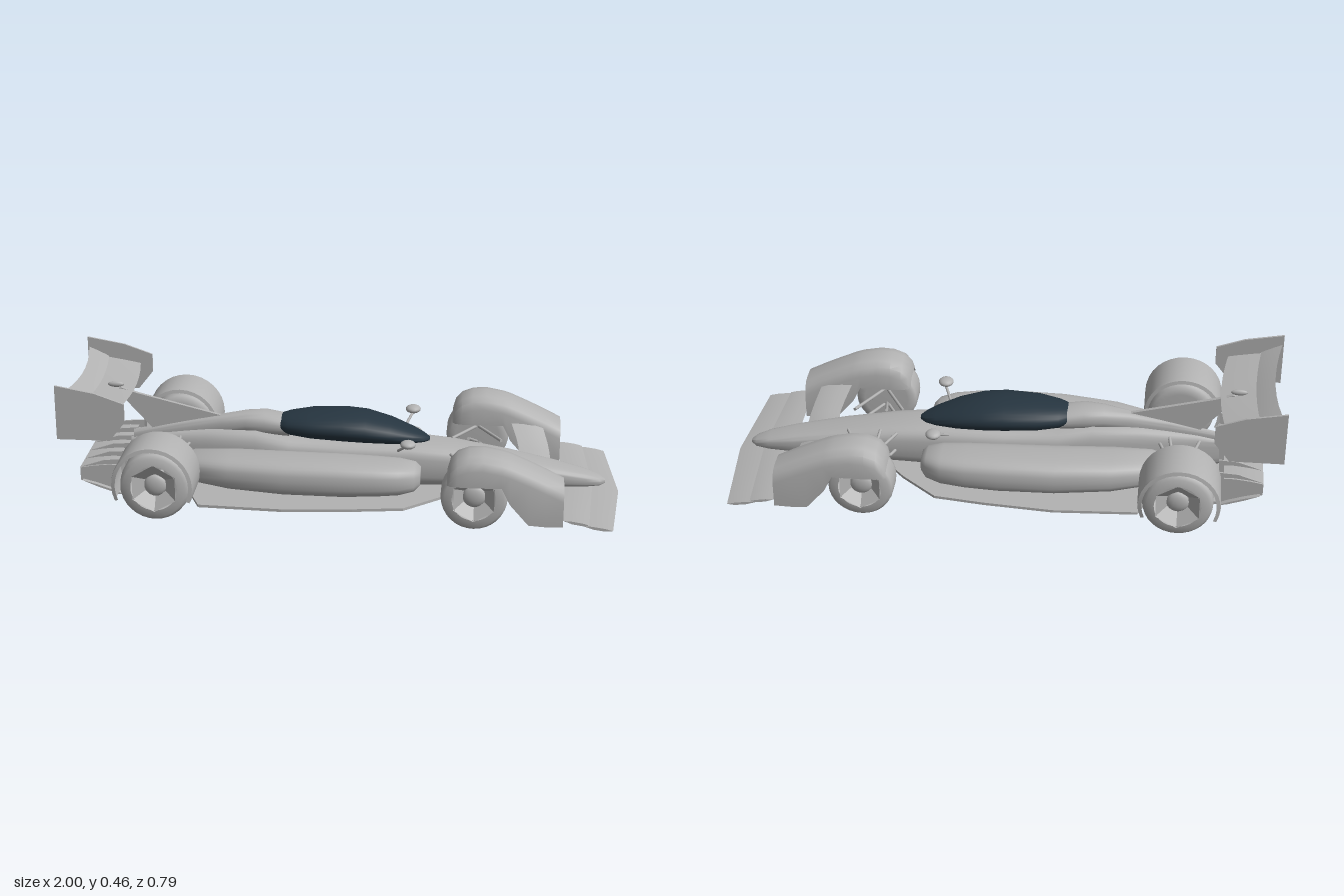
import * as THREE from 'three';
import { toCreasedNormals } from 'three/addons/utils/BufferGeometryUtils.js';

const paint = new THREE.MeshStandardMaterial({ color: 0xb2b2b2, side: THREE.DoubleSide });
paint.name = 'greyPaint';
const glass = new THREE.MeshStandardMaterial({ color: 0x263540 });
glass.name = 'darkGlass';

function add(parent, name, geometry, material = paint) {
  const mesh = new THREE.Mesh(geometry, material);
  mesh.name = name;
  parent.add(mesh);
  return mesh;
}

// Skin through rings of [x, y, z] points; closed rings get end caps
function loft(rings, closed = true, crease = 0.7) {
  const n = rings[0].length, pos = rings.flat(2), idx = [];
  for (let j = 0; j < rings.length - 1; j++) {
    for (let i = 0; i < (closed ? n : n - 1); i++) {
      const k = (i + 1) % n, a = j * n + i, b = a + n, c = (j + 1) * n + k, d = j * n + k;
      idx.push(a, b, c, a, c, d);
    }
  }
  if (closed) {
    [0, rings.length - 1].forEach((j) => {
      const mid = [0, 1, 2].map((k) => rings[j].reduce((s, p) => s + p[k], 0) / n);
      const c = pos.length / 3;
      pos.push(...mid);
      for (let i = 0; i < n; i++) {
        const a = j * n + i, b = j * n + ((i + 1) % n);
        idx.push(c, ...(j === 0 ? [a, b] : [b, a]));
      }
    });
  }
  const g = new THREE.BufferGeometry();
  g.setAttribute('position', new THREE.Float32BufferAttribute(pos, 3));
  g.setIndex(idx);
  return toCreasedNormals(g, crease);
}

// Superellipse hull from rows of [x, bottom, top, inner z, outer z], x increasing
function hull(rows, power) {
  const bend = (v) => Math.sign(v) * Math.pow(Math.abs(v), 2 / power);
  return loft(rows.map(([x, yb, yt, z0, z1]) => Array.from({ length: 28 }, (_, i) => {
    const a = (i / 28) * Math.PI * 2;
    return [x, (yb + yt) / 2 + (yt - yb) / 2 * bend(Math.sin(a)), (z0 + z1) / 2 + (z1 - z0) / 2 * bend(Math.cos(a))];
  })), true, 0.9);
}
const centred = (rows) => rows.map(([x, b, t, w]) => [x, b, t, -w, w]);

// Thin aerofoil through stations of [z, rear x, rear y, front x, front y]
function wing(stations, thick, camber = 0) {
  return loft(stations.map(([z, x0, y0, x1, y1]) => {
    const at = (t, off) => [x0 + (x1 - x0) * t, y0 + (y1 - y0) * t + off, z];
    return [at(0, 0), at(0.35, thick / 2 - camber), at(0.75, thick / 2 - camber), at(1, 0),
      at(0.75, -thick / 2 - camber), at(0.35, -thick / 2 - camber)];
  }));
}

// Upright plate in the x-y plane, centred on z
function plate(points, z, depth) {
  const shape = new THREE.Shape(points.map((p) => new THREE.Vector2(...p)));
  return new THREE.ExtrudeGeometry(shape, { depth, bevelEnabled: false }).translate(0, 0, z - depth / 2);
}

function rod(parent, name, from, to, r = 0.006) {
  const a = new THREE.Vector3(...from), b = new THREE.Vector3(...to);
  const mesh = add(parent, name, new THREE.CylinderGeometry(r, r, a.distanceTo(b), 8));
  mesh.position.copy(a).lerp(b, 0.5);
  mesh.quaternion.setFromUnitVectors(new THREE.Vector3(0, 1, 0), b.sub(a).normalize());
}

// Tyre with a six-sided dished hub
function wheel(parent, name, x, z, r, half) {
  const g = new THREE.Group();
  g.name = name;
  const v = (pts) => pts.map((p) => new THREE.Vector2(...p));
  const tyre = v([[0, -half], [r * 0.7, -half], [r * 0.88, -half * 0.95], [r * 0.97, -half * 0.8], [r, -half * 0.5],
    [r, half * 0.5], [r * 0.97, half * 0.8], [r * 0.88, half * 0.95], [r * 0.66, half]]);
  add(g, 'tyre', new THREE.LatheGeometry(tyre, 32).rotateX(Math.PI / 2));
  const dish = new THREE.LatheGeometry(v([[0, half - 0.035], [0.042, half - 0.035], [r * 0.7, half + 0.002]]), 6);
  add(g, 'hubDish', toCreasedNormals(dish.rotateX(Math.PI / 2), 0.3));
  add(g, 'hubCap', new THREE.SphereGeometry(0.04, 16, 10).scale(1, 1, 0.4).translate(0, 0, half - 0.035));
  g.position.set(x, r, z);
  parent.add(g);
}

function buildSide(name) {
  const g = new THREE.Group();
  g.name = name;
  wheel(g, 'rearWheel', -0.64, 0.303, 0.125, 0.078);
  wheel(g, 'frontWheel', 0.48, 0.305, 0.117, 0.063);

  // Curved cover over the rear wheel
  const arc = [];
  for (let i = 0; i <= 20; i++) {
    const a = -0.4 + (i / 20) * (Math.PI + 0.8);
    const p = (r, z) => [-0.645 + r * Math.cos(a), 0.135 + r * Math.sin(a), z];
    arc.push([p(0.13, 0.215), p(0.143, 0.218), p(0.145, 0.23), p(0.145, 0.38), p(0.143, 0.392), p(0.13, 0.395)]);
  }
  add(g, 'rearWheelCover', loft(arc, false));

  // Arched front fairing from rows of [x, lower edge, top, inner z, outer z]
  const rows = [[0.385, 0.17, 0.2, 0.245, 0.37], [0.395, 0.17, 0.235, 0.23, 0.38], [0.42, 0.17, 0.262, 0.222, 0.385],
    [0.46, 0.17, 0.277, 0.22, 0.387], [0.51, 0.17, 0.28, 0.22, 0.387], [0.575, 0.17, 0.268, 0.221, 0.386],
    [0.605, 0.11, 0.258, 0.221, 0.385], [0.67, 0.035, 0.23, 0.222, 0.383], [0.73, 0.03, 0.202, 0.224, 0.381], [0.79, 0.03, 0.172, 0.226, 0.378]];
  add(g, 'frontWheelFairing', loft(rows.map(([x, b, t, z0, z1]) => {
    const h = Math.min(0.05, t - b), w = z1 - z0;
    return [[x, b, z1], [x, t - h, z1], [x, t - h * 0.4, z1 - w * 0.06], [x, t - h * 0.08, z1 - w * 0.2], [x, t, z1 - w * 0.38],
      [x, t, z0 + w * 0.38], [x, t - h * 0.08, z0 + w * 0.2], [x, t - h * 0.4, z0 + w * 0.06], [x, t - h, z0], [x, b, z0]];
  }), false));
  add(g, 'fairingVane', wing([[0.06, 0.63, 0.115, 0.75, 0.095], [0.12, 0.635, 0.125, 0.75, 0.105],
    [0.17, 0.625, 0.147, 0.742, 0.127], [0.225, 0.605, 0.185, 0.725, 0.165]], 0.01));

  add(g, 'sidePod', hull([[-0.6, 0.09, 0.135, 0.05, 0.16], [-0.54, 0.07, 0.165, 0.05, 0.205], [-0.4, 0.06, 0.178, 0.06, 0.25],
    [-0.2, 0.055, 0.184, 0.08, 0.278], [0, 0.055, 0.185, 0.09, 0.282], [0.12, 0.058, 0.18, 0.09, 0.275],
    [0.21, 0.062, 0.173, 0.09, 0.26], [0.265, 0.072, 0.162, 0.1, 0.235], [0.285, 0.09, 0.145, 0.12, 0.205]], 3));

  // Mirror on its stalk
  add(g, 'mirror', new THREE.SphereGeometry(1, 16, 10).scale(0.028, 0.015, 0.03).translate(0.24, 0.243, 0.183));
  rod(g, 'mirrorStalk', [0.24, 0.235, 0.17], [0.2, 0.18, 0.085], 0.005);

  // Suspension arms
  for (const y of [0.09, 0.155]) {
    rod(g, 'frontArm', [0.48, y, 0.26], [0.57, y + 0.015, 0.07]);
    rod(g, 'frontArm', [0.48, y, 0.26], [0.39, y + 0.015, 0.08]);
    rod(g, 'rearArm', [-0.64, y, 0.25], [-0.56, y + 0.015, 0.03]);
    rod(g, 'rearArm', [-0.64, y, 0.25], [-0.71, y + 0.015, 0.02]);
  }
  rod(g, 'frontPushRod', [0.48, 0.09, 0.26], [0.45, 0.175, 0.07]);
  rod(g, 'rearPushRod', [-0.64, 0.09, 0.25], [-0.6, 0.19, 0.03]);
  rod(g, 'rearDriveShaft', [-0.64, 0.125, 0.26], [-0.64, 0.125, 0.02], 0.01);

  add(g, 'rearWingEndplate', plate([[-1, 0.26], [-0.81, 0.26], [-0.755, 0.33], [-0.755, 0.398], [-0.86, 0.435], [-1, 0.46]], 0.275, 0.008));
  for (const z of [0.04, 0.12, 0.2]) {
    add(g, 'diffuserFin', plate([[-0.94, 0.075], [-0.79, 0.03], [-0.78, 0.16], [-0.85, 0.155], [-0.94, 0.125]], z, 0.006));
  }
  return g;
}

export function createModel() {
  const car = new THREE.Group();
  car.name = 'raceCar';

  add(car, 'body', hull(centred([[-0.79, 0.07, 0.17, 0.012], [-0.7, 0.06, 0.19, 0.03], [-0.5, 0.04, 0.22, 0.062], [-0.32, 0.035, 0.232, 0.09],
    [-0.2, 0.035, 0.207, 0.097], [0, 0.035, 0.2, 0.1], [0.25, 0.035, 0.2, 0.099], [0.4, 0.037, 0.186, 0.092], [0.6, 0.04, 0.152, 0.08],
    [0.78, 0.04, 0.115, 0.062], [0.88, 0.04, 0.09, 0.046], [0.93, 0.043, 0.072, 0.03], [0.95, 0.05, 0.06, 0.01]]), 3.4));
  add(car, 'engineSpine', hull(centred([[-0.78, 0.14, 0.2, 0.008], [-0.6, 0.17, 0.238, 0.018], [-0.45, 0.19, 0.268, 0.032],
    [-0.36, 0.2, 0.284, 0.048], [-0.29, 0.2, 0.288, 0.058], [-0.2, 0.2, 0.27, 0.06]]), 2.4));
  add(car, 'canopy', hull(centred([[-0.27, 0.238, 0.258, 0.014], [-0.25, 0.222, 0.27, 0.045], [-0.2, 0.207, 0.284, 0.077],
    [-0.12, 0.198, 0.296, 0.1], [0, 0.192, 0.3, 0.11], [0.08, 0.188, 0.293, 0.106], [0.17, 0.185, 0.268, 0.089],
    [0.25, 0.185, 0.236, 0.06], [0.29, 0.188, 0.217, 0.036], [0.31, 0.193, 0.205, 0.012]]), 2.1), glass);

  // Flat floor, outlined in x and z
  const half = [[-0.82, 0.2], [-0.54, 0.2], [-0.5, 0.295], [-0.2, 0.312], [0.05, 0.29], [0.23, 0.265], [0.36, 0.15], [0.42, 0.08]];
  const outline = [...half, ...half.map(([x, z]) => [x, -z]).reverse()];
  add(car, 'floor', plate(outline, 0, 0.01).rotateX(Math.PI / 2).translate(0, 0.028, 0));
  add(car, 'diffuserRamp', wing([[-0.22, -0.93, 0.08, -0.78, 0.03], [0.22, -0.93, 0.08, -0.78, 0.03]], 0.008));
  add(car, 'diffuserTop', wing([[-0.21, -0.94, 0.125, -0.8, 0.14], [0.21, -0.94, 0.125, -0.8, 0.14]], 0.008));

  // Bowed rear wing and its supports
  const main = [], flap = [];
  for (let i = -4; i <= 4; i++) {
    const z = (i / 4) * 0.272, q = (i / 4) ** 2;
    main.push([z, -0.92 - 0.02 * q, 0.372 + 0.014 * q, -0.775 - 0.025 * q, 0.35 + 0.012 * q]);
    flap.push([z, -0.965 - 0.03 * q, 0.407 + 0.015 * q, -0.9 - 0.02 * q, 0.372 + 0.015 * q]);
  }
  add(car, 'rearWingMain', wing(main, 0.014, 0.006));
  add(car, 'rearWingFlap', wing(flap, 0.01, 0.004));
  add(car, 'rearWingFin', plate([[-0.44, 0.262], [-0.76, 0.342], [-0.82, 0.362], [-0.84, 0.355], [-0.7, 0.2], [-0.5, 0.22]], 0, 0.014));
  add(car, 'wingPod', new THREE.SphereGeometry(1, 14, 10).scale(0.03, 0.011, 0.009).translate(-0.84, 0.373, 0));

  // Swept two-element front wing
  const blade = [], lip = [];
  for (let i = -4; i <= 4; i++) {
    const t = Math.abs(i) / 4, z = (i / 4) * 0.375;
    blade.push([z, 0.87 - 0.015 * t, 0.032 + 0.006 * t, 1 - 0.037 * t, 0.014 + 0.008 * t]);
    lip.push([z, 0.79, 0.046 + 0.008 * t, 0.905 - 0.025 * t, 0.034 + 0.006 * t]);
  }
  add(car, 'frontWingBlade', wing(blade, 0.01, 0.002));
  add(car, 'frontWingFlap', wing(lip, 0.01, 0.002));

  // Mirrored running gear and bodywork
  const far = buildSide('farSide');
  far.scale.z = -1;
  car.add(buildSide('nearSide'), far);
  return car;
}
